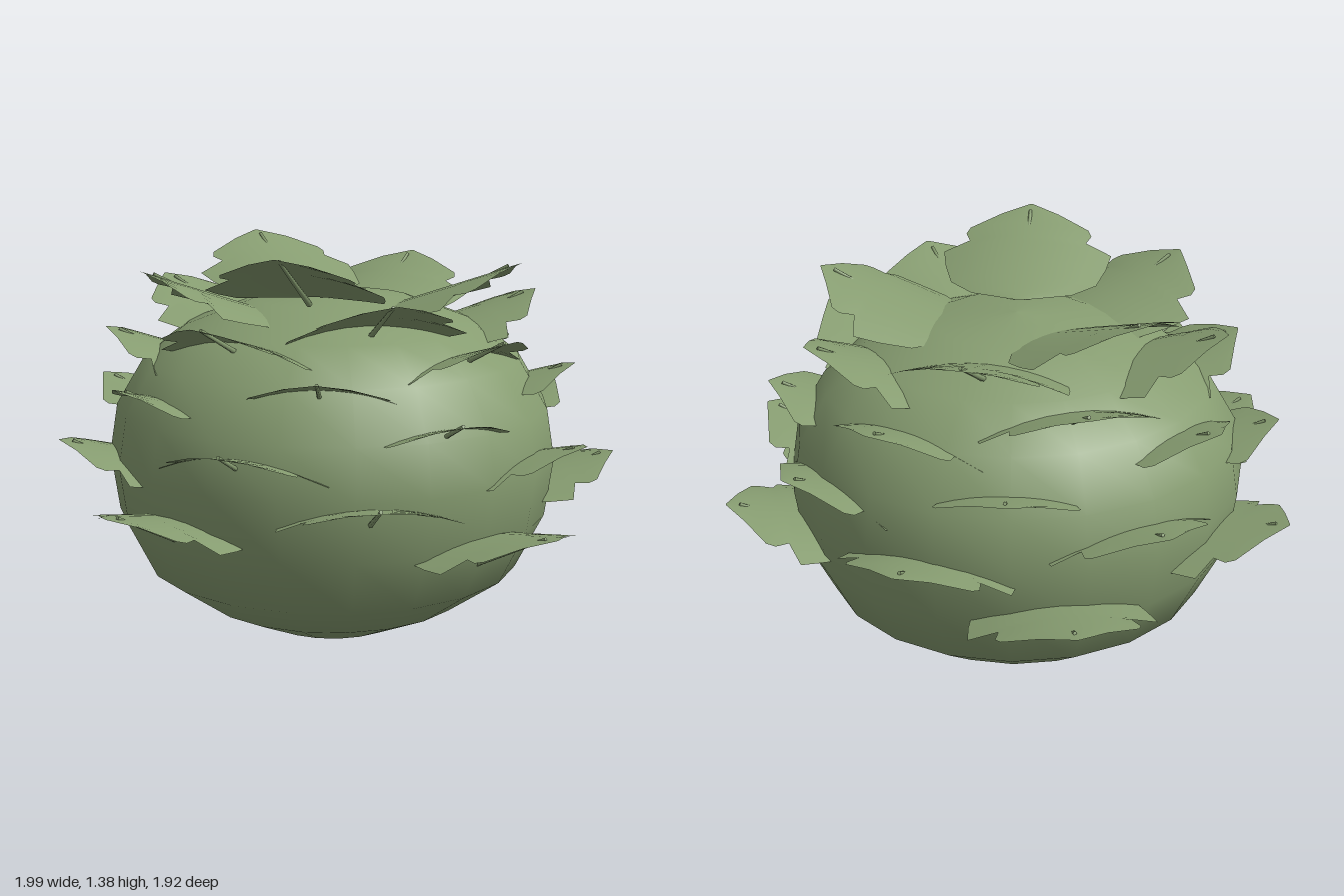
import * as THREE from 'three';

const green = new THREE.MeshStandardMaterial({ color: 0x879d71, side: THREE.DoubleSide });
green.name = 'leaf green';

const LEAVES = 32;
const GOLDEN = THREE.MathUtils.degToRad(137.5);

// Leaf outline: [distance back from the tip, half width]
const OUTLINE = [
  [0, 0.004], [0.05, 0.1], [0.11, 0.21], [0.14, 0.222], [0.185, 0.205],
  [0.215, 0.295], [0.3, 0.28], [0.4, 0.25], [0.48, 0.17], [0.53, 0.02],
];

// Lobed leaf with its tip at the origin, running back along -x, sides drooping
function leafGeometry() {
  const cols = 8;
  const geo = new THREE.PlaneGeometry(2, 1, cols, OUTLINE.length - 1);
  const pos = geo.attributes.position;
  for (let i = 0; i < pos.count; i++) {
    const [back, half] = OUTLINE[Math.floor(i / (cols + 1))];
    const z = pos.getX(i) * half;
    pos.setXYZ(i, -back, -0.65 * z * z, z);
  }
  geo.computeVertexNormals();
  return geo;
}

// Straight rib under the leaf, ending at the origin and running back along -x
function ribGeometry() {
  const geo = new THREE.CylinderGeometry(0.006, 0.011, 0.36, 6);
  geo.translate(0, -0.18, 0);
  geo.rotateZ(-Math.PI / 2);
  return geo;
}

// Rounded, slightly faceted heart
function createBody() {
  const profile = [
    [0, 0], [0.24, 0.04], [0.46, 0.14], [0.645, 0.27], [0.74, 0.46], [0.768, 0.66],
    [0.74, 0.83], [0.645, 0.99], [0.5, 1.1], [0.27, 1.185], [0, 1.21],
  ].map(([r, y]) => new THREE.Vector2(r, y));
  const body = new THREE.Mesh(new THREE.LatheGeometry(profile, 20), green);
  body.name = 'body';
  return body;
}

export function createModel() {
  const model = new THREE.Group();
  model.name = 'leafyBulb';
  const plant = new THREE.Group();
  plant.name = 'plant';
  plant.position.set(-0.035, 0, -0.04);
  plant.add(createBody());
  model.add(plant);

  const leafGeo = leafGeometry();
  const ribGeo = ribGeometry();

  // Leaves climb the body in a golden-angle spiral, closing in and steepening
  for (let i = 0; i < LEAVES; i++) {
    const t = i / (LEAVES - 1);
    const spoke = new THREE.Group();
    spoke.name = 'leafGroup';
    spoke.rotation.y = i * GOLDEN;

    const radius = 1.03 - 0.0128 * i;
    const height = 0.55 + 0.0269 * i;
    const leaf = new THREE.Mesh(leafGeo, green);
    leaf.name = 'leaf';
    leaf.position.set(radius, height, 0);
    leaf.rotation.z = THREE.MathUtils.degToRad(10 + 10 * t);

    const rib = new THREE.Mesh(ribGeo, green);
    rib.name = 'rib';
    rib.position.set(radius - 0.045, height - 0.004 - 0.006 * t, 0);
    rib.rotation.z = THREE.MathUtils.degToRad(27 + 2 * t);

    spoke.add(leaf, rib);
    plant.add(spoke);
  }
  return model;
}
